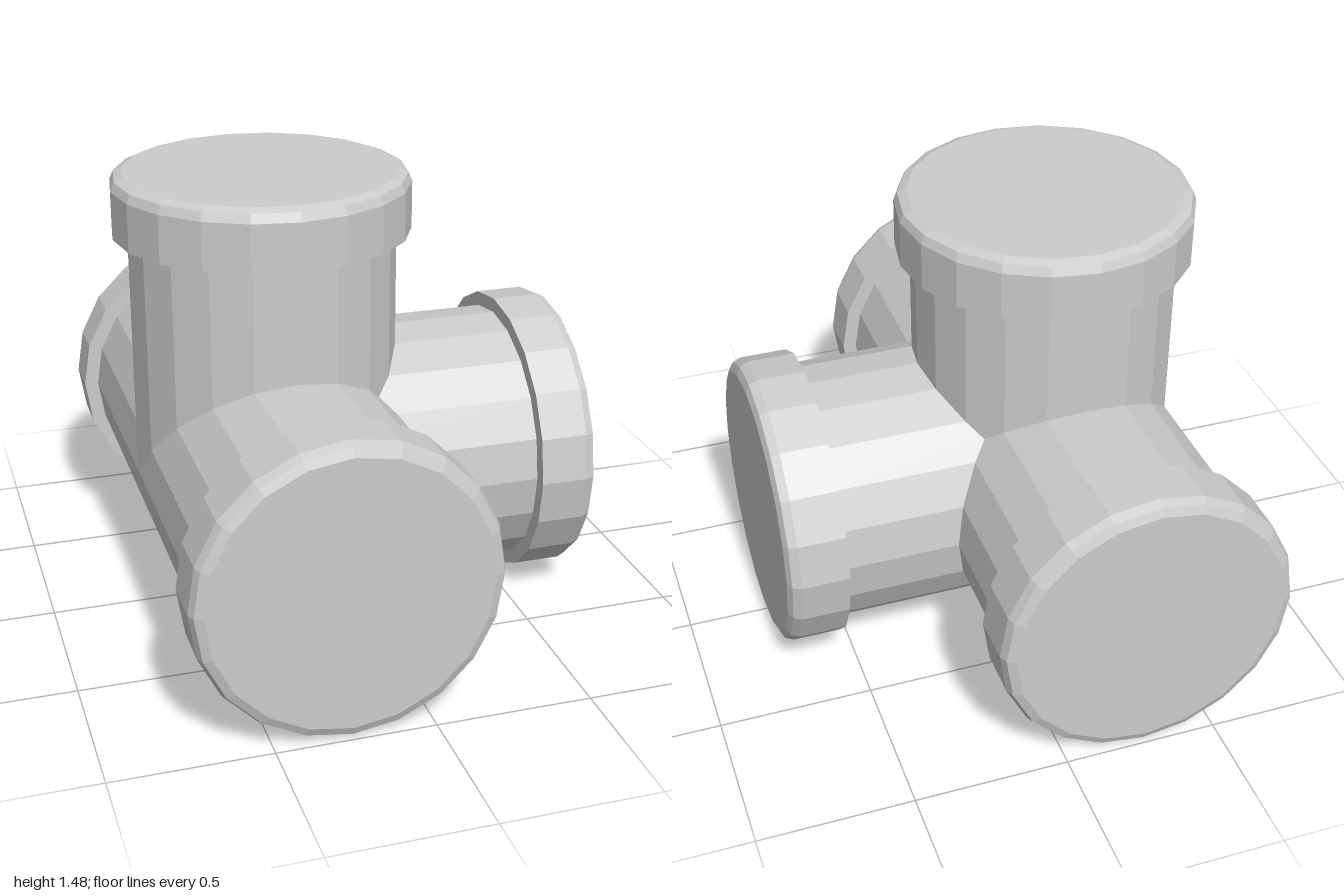
import * as THREE from 'three';

const SIDES = 20;
const PIPE_R = 0.43;
const CAP_R = 0.478;
const REACH = 1; // hub centre to outer face of a cap
const CAP_START = 0.805;

const material = new THREE.MeshStandardMaterial({ color: 0xcccccc, flatShading: true });

function lathe(name, profile) {
  const points = profile.map(([r, y]) => new THREE.Vector2(r, y));
  const mesh = new THREE.Mesh(new THREE.LatheGeometry(points, SIDES), material);
  mesh.name = name;
  return mesh;
}

// One branch along +y: a pipe from the hub centre and a rounded end cap
function createBranch(name) {
  const branch = new THREE.Group();
  branch.name = name;
  branch.add(
    lathe('pipe', [[0, 0], [PIPE_R, 0], [PIPE_R, CAP_START + 0.02]]),
    lathe('endCap', [
      [PIPE_R - 0.02, CAP_START],
      [CAP_R, CAP_START],
      [CAP_R, REACH - 0.04],
      [CAP_R - 0.012, REACH - 0.012],
      [CAP_R - 0.04, REACH],
      [0, REACH],
    ])
  );
  return branch;
}

export function createModel() {
  const model = new THREE.Group();
  model.name = 'fourWayPipeFitting';

  // Four branches meeting at the hub: up, left (+x), front and back
  const branches = [
    ['topBranch', 0, 0],
    ['leftBranch', 0, -Math.PI / 2],
    ['frontBranch', Math.PI / 2, 0],
    ['backBranch', -Math.PI / 2, 0],
  ];
  for (const [name, rx, rz] of branches) {
    const branch = createBranch(name);
    branch.rotation.set(rx, 0, rz);
    branch.position.set(-0.261, 0.479, 0);
    model.add(branch);
  }
  return model;
}
